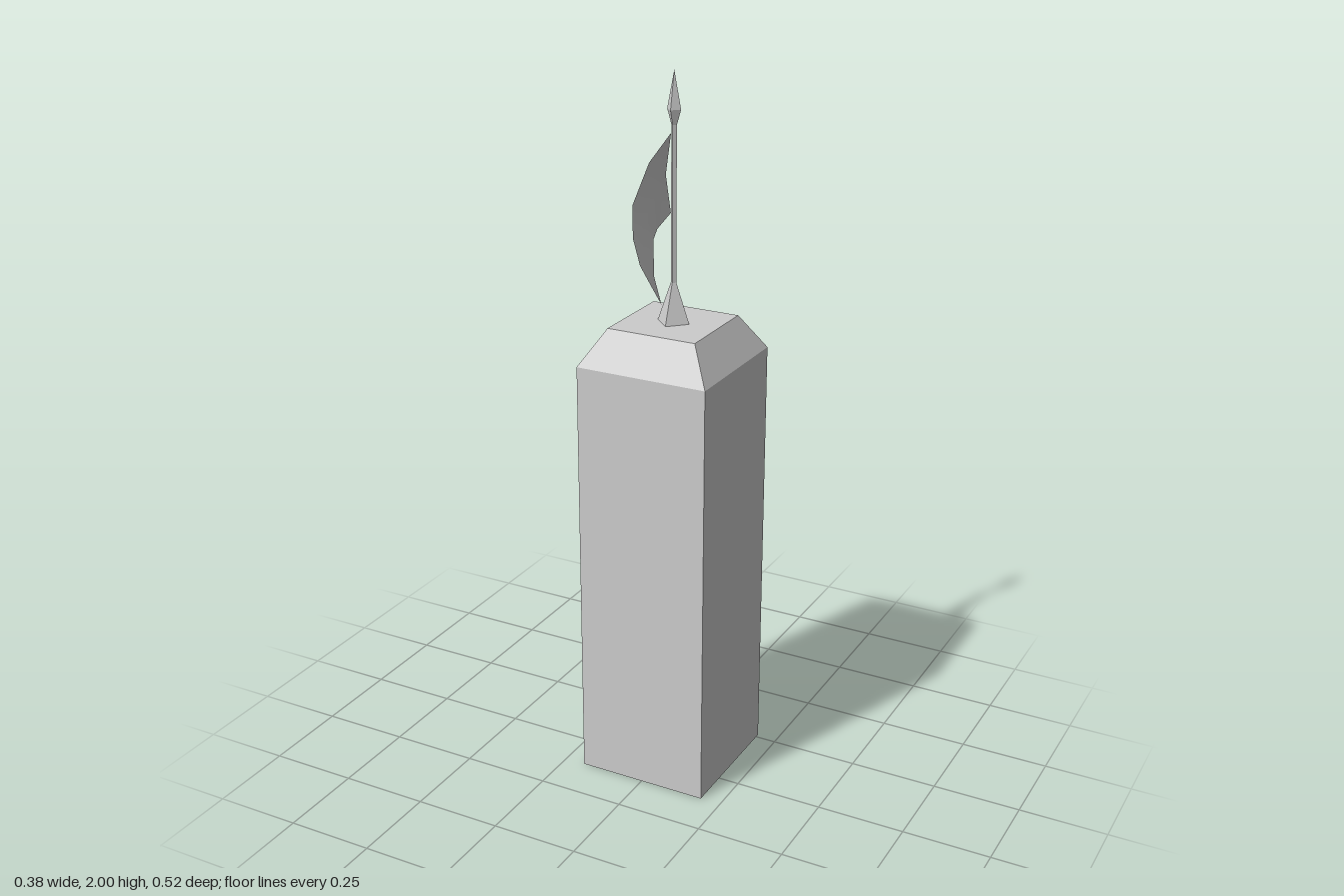
import * as THREE from 'three';

const AXIS_Z = -0.073; // shared centre line of pillar and pole

export function createModel() {
  const model = new THREE.Group();
  const stone = new THREE.MeshStandardMaterial({ color: 0xcccccc });
  stone.name = 'light grey';
  stone.flatShading = true;
  const cloth = stone.clone();
  cloth.flatShading = false;
  cloth.side = THREE.DoubleSide;

  function add(name, geometry, material = stone) {
    const mesh = new THREE.Mesh(geometry, material);
    mesh.name = name;
    model.add(mesh);
    return mesh;
  }

  // Four-sided frustum; r is the distance from the axis to a corner
  function frustum(name, rTop, rBottom, y0, y1, turn = 0, open = true) {
    const g = new THREE.CylinderGeometry(rTop, rBottom, y1 - y0, 4, 1, open);
    g.rotateY(turn);
    g.translate(0, (y0 + y1) / 2, AXIS_Z);
    return add(name, g);
  }

  // Square pillar with a bevelled top
  const corner = Math.SQRT2;
  frustum('pillar', 0.19 * corner, 0.19 * corner, 0, 1.23, Math.PI / 4, false);
  frustum('pillarBevel', 0.129 * corner, 0.19 * corner, 1.23, 1.33, Math.PI / 4, false);

  // Flagpole: flared foot, thin shaft and pointed spearhead
  frustum('poleFoot', 0.008, 0.047, 1.33, 1.44);
  frustum('poleShaft', 0.008, 0.008, 1.44, 1.87);
  frustum('spearheadBase', 0.02, 0.008, 1.86, 1.9);
  frustum('spearheadTip', 0, 0.02, 1.9, 2);

  // Curling flag: each column runs from the top edge to the bottom edge
  const columns = [
    [[-0.004, 1.84, -0.064], [-0.018, 1.73, -0.062], [-0.004, 1.63, -0.064]],
    [[-0.02, 1.78, 0.025], [-0.02, 1.69, -0.015], [-0.014, 1.6, -0.008]],
    [[-0.012, 1.695, 0.128], [-0.013, 1.635, 0.07], [-0.013, 1.578, 0.015]],
    [[0.03, 1.635, 0.203], [0.03, 1.57, 0.148], [0.03, 1.507, 0.093]],
    [[0.082, 1.588, 0.262], [0.082, 1.521, 0.206], [0.082, 1.455, 0.15]],
  ];
  const index = [];
  for (let c = 0; c < columns.length - 1; c++) {
    for (let r = 0; r < 2; r++) {
      const a = c * 3 + r, b = a + 3;
      index.push(a, a + 1, b, b, a + 1, b + 1);
    }
  }
  const flag = new THREE.BufferGeometry();
  flag.setAttribute('position', new THREE.Float32BufferAttribute(columns.flat(2), 3));
  flag.setIndex(index);
  flag.computeVertexNormals();
  add('flag', flag, cloth);

  return model;
}
